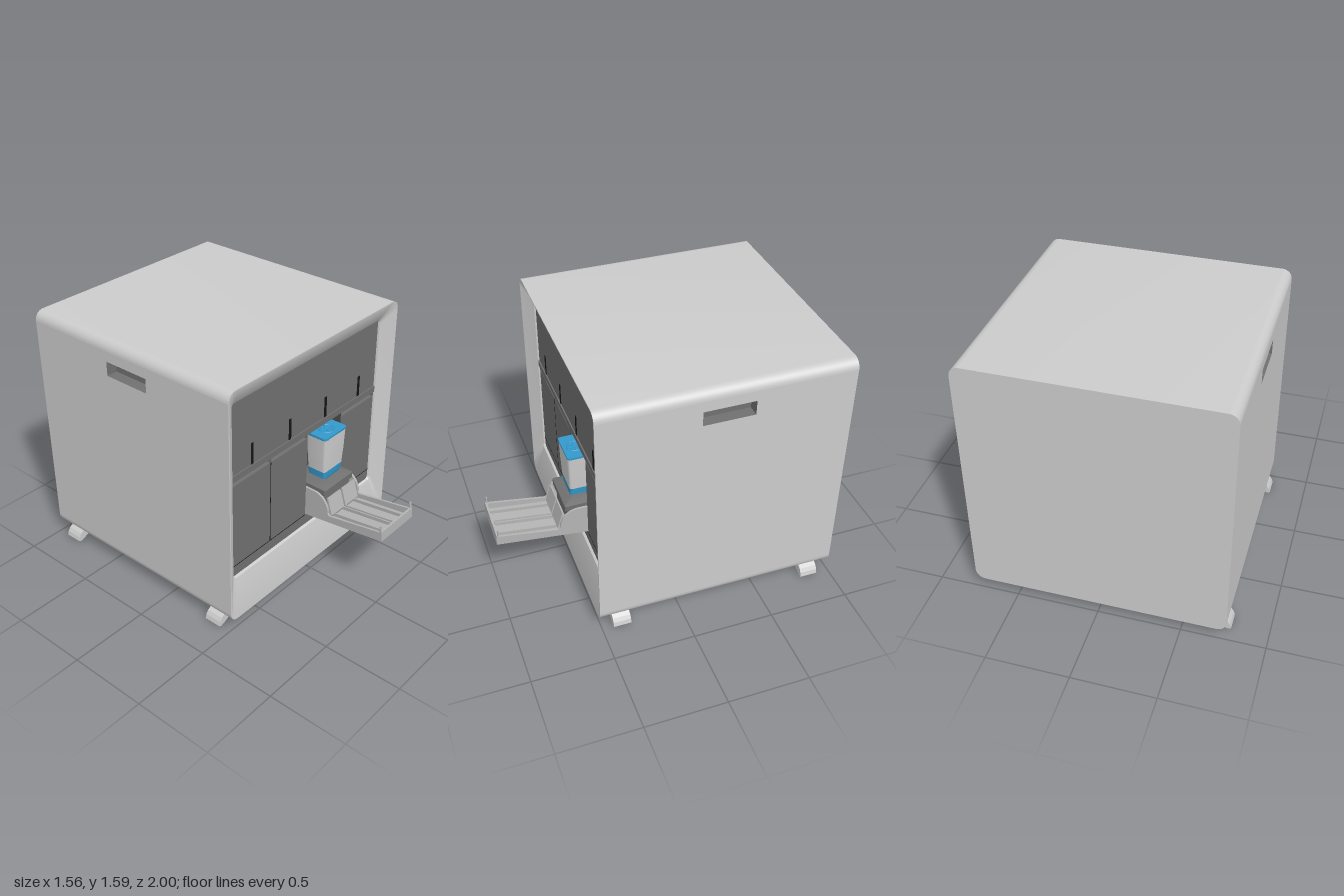
import * as THREE from 'three';
import { toCreasedNormals, mergeVertices } from 'three/addons/utils/BufferGeometryUtils.js';

const mat = (color, side = THREE.FrontSide) => new THREE.MeshStandardMaterial({ color, side });
const grey = mat(0xcccccc), greyThin = mat(0xcccccc, THREE.DoubleSide);
const trayGrey = mat(0xb4b4b4), dark = mat(0x707070), black = mat(0x151515), blue = mat(0x3399cc);
const darkInside = mat(0x707070, THREE.BackSide), bayInside = mat(0x4c4c4c, THREE.BackSide);

// Rounded rectangle outline, counter-clockwise
function ring(hw, hh, r, cx = 0, cy = 0, n = 8) {
  const pts = [];
  [[1, 1], [-1, 1], [-1, -1], [1, -1]].forEach(([sx, sy], q) => {
    for (let i = 0; i <= n; i++) {
      const a = (q + i / n) * Math.PI / 2;
      pts.push([cx + sx * (hw - r) + r * Math.cos(a), cy + sy * (hh - r) + r * Math.sin(a)]);
    }
  });
  return pts;
}

// Skin between outlines, each given as [points, z]
function loft(sections, closed = true) {
  const pos = [], idx = [], n = sections[0][0].length;
  sections.forEach(([pts, z]) => pts.forEach(([x, y]) => pos.push(x, y, z)));
  for (let s = 0; s < sections.length - 1; s++) {
    for (let i = 0; i < (closed ? n : n - 1); i++) {
      const a = s * n + i, b = s * n + (i + 1) % n;
      idx.push(a, b, b + n, a, b + n, a + n);
    }
  }
  const g = new THREE.BufferGeometry();
  g.setAttribute('position', new THREE.Float32BufferAttribute(pos, 3));
  g.setIndex(idx);
  return toCreasedNormals(mergeVertices(g, 1e-5), 0.5);
}

const toShape = pts => new THREE.Shape(pts.map(([x, y]) => new THREE.Vector2(x, y)));
const rect = (x0, y0, x1, y1) => [[x0, y0], [x1, y0], [x1, y1], [x0, y1]];

export function createModel() {
  const model = new THREE.Group();
  const add = (name, geo, material, parent = model) => {
    const m = new THREE.Mesh(geo, material);
    m.name = name;
    parent.add(m);
    return m;
  };
  const box = (name, x0, x1, y0, y1, z0, z1, material, parent) => {
    const m = add(name, new THREE.BoxGeometry(x1 - x0, y1 - y0, z1 - z0), material, parent);
    m.position.set((x0 + x1) / 2, (y0 + y1) / 2, (z0 + z1) / 2);
    return m;
  };
  // Profile of [z, y] points extruded across x
  const acrossX = (name, pts, x0, x1, material, parent) => {
    const g = new THREE.ExtrudeGeometry(toShape(pts), { depth: x1 - x0, bevelEnabled: false });
    const m = add(name, g.rotateY(-Math.PI / 2), material, parent);
    m.position.x = x1;
    return m;
  };
  // Upright lofted body from [y, halfWidth, halfDepth, radius] levels
  const upright = (name, levels, cx, cz, material, parent) =>
    add(name, loft(levels.map(([y, w, d, r]) => [ring(w, d, r, cx, -cz, 4), y])).rotateX(-Math.PI / 2), material, parent);

  // Cabinet shell
  const W = 0.765, Y0 = 0.07, Y1 = 1.59, CY = (Y0 + Y1) / 2, H = (Y1 - Y0) / 2, R = 0.06, Z0 = -1, Z1 = 0.51;
  const outer = ring(W, H, R, 0, CY);
  add('cabinetTop', loft([[outer.slice(0, 18), Z0], [outer.slice(0, 18), Z1]], false), grey);
  add('cabinetBottom', loft([[outer.slice(18), Z0], [outer.slice(18), Z1]], false), grey);
  add('cabinetBack', new THREE.ShapeGeometry(toShape(outer)).rotateY(Math.PI), grey).position.z = Z0;

  // Side walls with recessed grips
  const side = toShape(rect(Z0, Y0 + R, Z1, Y1 - R));
  side.holes.push(toShape(rect(-0.4, 1.375, -0.09, 1.465)));
  const sideGeo = new THREE.ShapeGeometry(side).rotateY(-Math.PI / 2);
  for (const s of [-1, 1]) {
    add(s > 0 ? 'leftSide' : 'rightSide', sideGeo, greyThin).position.x = s * W;
    const xs = [s * W, s * (W - 0.07)].sort((a, b) => a - b);
    box('gripRecess', xs[0], xs[1], 1.375, 1.465, -0.4, -0.09, darkInside);
  }

  // Sloping front frame; its sill is taller than its head
  add('frontFrame', loft([
    [outer, Z1],
    [ring(0.757, 0.752, 0.054, 0, CY), Z1],
    [ring(0.682, 0.583, 0.026, 0, 0.891), 0.455],
    [ring(0.674, 0.579, 0.022, 0, 0.89), 0.45],
    [ring(0.67, 0.575, 0.02, 0, 0.89), 0.44],
  ]), grey);

  // Inner front panel with the open bay and finger slots above the doors
  const PZ = 0.44, bay = [0.003, 0.33, 0.385, 0.97];
  const doors = [[-0.665, -0.339], [-0.331, -0.003], [0.336, 0.665]];
  const panel = toShape(ring(0.672, 0.577, 0.02, 0, 0.89));
  panel.holes.push(toShape(rect(bay[0], bay[2], bay[1], bay[3])));
  doors.forEach(([a, b]) => panel.holes.push(toShape(rect(a, 0.94, b, 0.968))));
  add('frontPanel', new THREE.ShapeGeometry(panel), dark).position.z = PZ;
  box('bay', ...bay, 0.25, PZ, bayInside);
  doors.forEach(([a, b]) => box('fingerSlot', a, b, 0.94, 0.968, PZ - 0.045, PZ, darkInside));
  box('ledge', -0.67, 0.67, 0.972, 1.012, PZ - 0.01, PZ + 0.008, dark);
  box('doorSeam', -0.337, -0.333, 0.385, 0.94, PZ - 0.01, PZ + 0.001, black);
  for (const [a, b] of [[-0.67, 0.003], [0.33, 0.67]]) {
    box('doorBottomSeam', a, b, 0.383, 0.387, PZ - 0.01, PZ + 0.001, black);
  }
  for (const x of [-0.5, -0.168, 0.165, 0.497]) {
    box('indicatorSlot', x - 0.01, x + 0.01, 1.014, 1.15, PZ - 0.01, PZ + 0.003, black);
  }

  // Tapered container with coloured base and lid
  const container = new THREE.Group();
  container.name = 'container';
  model.add(container);
  const CX = 0.165, CZ = 0.457;
  upright('containerBase', [[0.62, 0.06, 0.05, 0.015], [0.635, 0.075, 0.058, 0.015], [0.642, 0.086, 0.062, 0.015],
    [0.69, 0.091, 0.064, 0.015]], CX, CZ, blue, container);
  upright('containerBody', [[0.69, 0.091, 0.064, 0.015], [0.8, 0.1, 0.068, 0.015], [0.925, 0.105, 0.071, 0.015]],
    CX, CZ, grey, container);
  upright('containerLid', [[0.922, 0.105, 0.071, 0.015], [0.925, 0.107, 0.073, 0.015], [0.938, 0.107, 0.073, 0.015],
    [0.938, 0.001, 0.001, 0.0005]], CX, CZ, blue, container);
  const rim = add('lidRim', new THREE.TorusGeometry(0.045, 0.005, 8, 32).rotateX(Math.PI / 2), blue, container);
  rim.position.set(CX, 0.937, CZ);
  for (let i = 0; i < 3; i++) {
    const spoke = box('lidSpoke', CX - 0.045, CX + 0.045, 0.935, 0.941, CZ - 0.005, CZ + 0.005, blue, container);
    spoke.rotation.y = i * Math.PI / 3;
  }

  // Outlet block under the container
  const dispenser = new THREE.Group();
  dispenser.name = 'dispenser';
  model.add(dispenser);
  upright('outletBlock', [[0.45, 0.138, 0.11, 0.008], [0.56, 0.138, 0.11, 0.008], [0.57, 0.141, 0.13, 0.008],
    [0.607, 0.141, 0.13, 0.008], [0.632, 0.09, 0.075, 0.008], [0.632, 0.001, 0.001, 0.0005]], CX, 0.44, dark, dispenser);

  // Curved cheeks and the raised side rails of the tray
  const cheek = [[0.4, 0.39], [0.51, 0.4], [0.63, 0.42], [0.62, 0.46]];
  for (let i = 0; i <= 8; i++) {
    const a = i / 8 * Math.PI / 2;
    cheek.push([0.5 + 0.11 * Math.cos(a), 0.47 + 0.12 * Math.sin(a)]);
  }
  cheek.push([0.4, 0.59]);
  const rail = [[0.6, 0.412], [0.99, 0.457], [0.988, 0.518], [0.6, 0.455]];
  for (const x of [0.003, 0.313]) {
    acrossX('cheek', cheek, x, x + 0.014, trayGrey, dispenser);
    acrossX('trayRail', rail, x, x + 0.014, trayGrey, dispenser);
    acrossX('trayCorner', [[0.982, 0.5], [0.993, 0.5], [0.987, 0.56], [0.98, 0.56]], x, x + 0.014, trayGrey, dispenser);
  }

  // Tray floor, end lip, ribs and tilted stops
  acrossX('trayFloor', [[0.4, 0.388], [0.51, 0.4], [0.99, 0.457], [0.985, 0.475], [0.4, 0.4]], 0.003, 0.327, trayGrey, dispenser);
  acrossX('trayLip', [[0.983, 0.457], [1, 0.457], [0.996, 0.522], [0.983, 0.522]], 0.003, 0.327, trayGrey, dispenser);
  for (const x of [0.06, 0.15, 0.172, 0.262]) {
    acrossX('trayRib', [[0.58, 0.415], [0.975, 0.465], [0.975, 0.496], [0.62, 0.45], [0.59, 0.5]], x, x + 0.008, trayGrey, dispenser);
  }
  for (const x of [0.03, 0.172]) {
    acrossX('trayStop', [[0.61, 0.42], [0.622, 0.45], [0.588, 0.56], [0.578, 0.557]], x, x + 0.128, trayGrey, dispenser);
  }

  // Floor runners with flared feet
  const half = [[0.64, 0.032], [0.7, 0.026], [0.73, 0.012], [0.765, 0], [0.78, 0.008], [0.772, 0.034], [0.757, 0.056], [0.73, 0.073]];
  const runner = [...half, ...half.map(([x, y]) => [-x, y]).reverse()];
  const runnerGeo = new THREE.ExtrudeGeometry(toShape(runner), { depth: 0.11, bevelEnabled: false });
  for (const z of [0.375, -0.863]) {
    add('floorRunner', runnerGeo, grey).position.z = z - 0.055;
  }
  return model;
}
